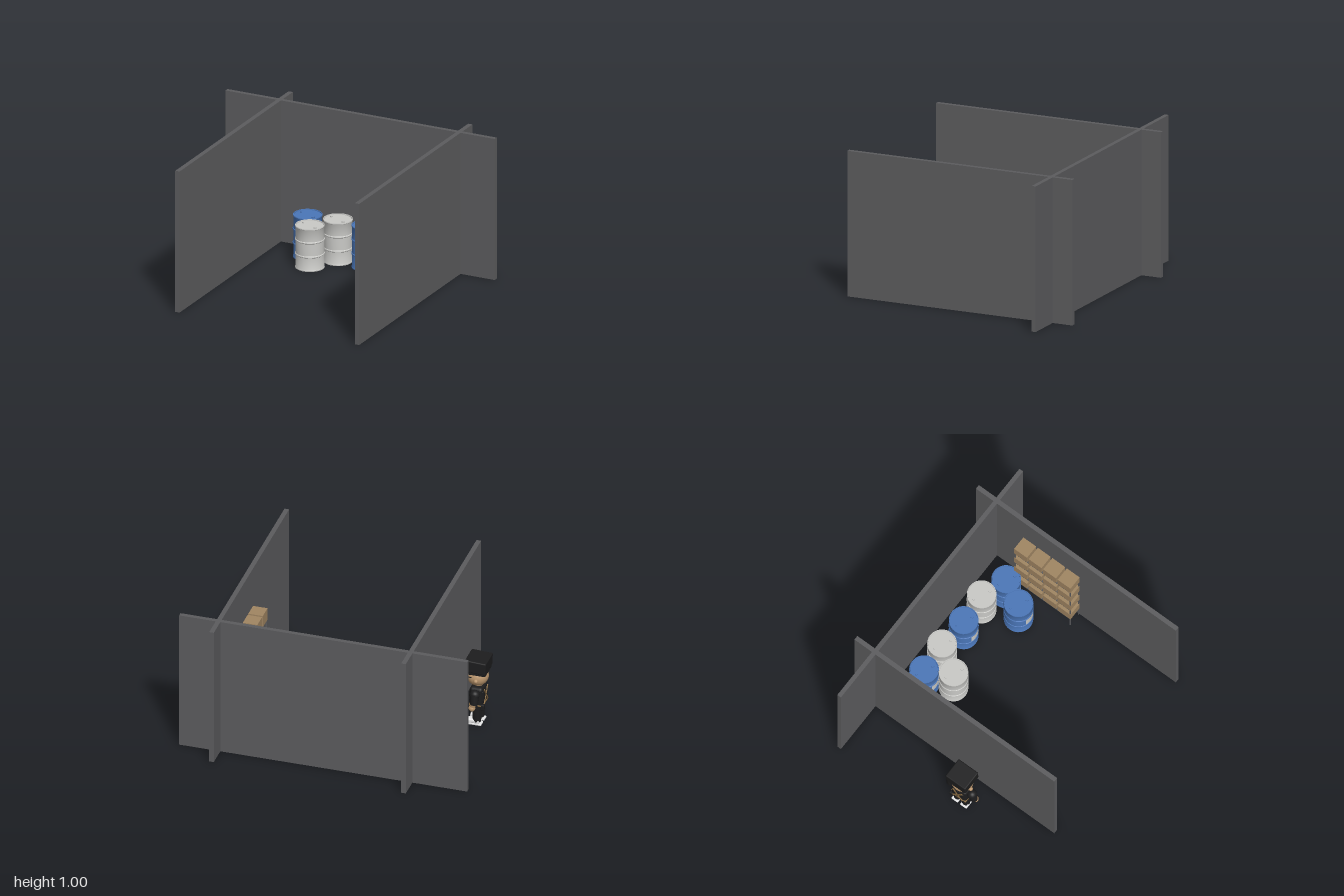
import * as THREE from 'three';
import { toCreasedNormals } from 'three/addons/utils/BufferGeometryUtils.js';
import { RoundedBoxGeometry } from 'three/addons/geometries/RoundedBoxGeometry.js';

const mat = (name, color, side = THREE.FrontSide) => {
  const m = new THREE.MeshStandardMaterial({ color, side });
  m.name = name;
  return m;
};
const M = {
  wall: mat('wall grey', 0x5c5c5e),
  blue: mat('barrel blue', 0x4a76b8),
  pale: mat('pale grey', 0xc9c9c6, THREE.DoubleSide),
  card: mat('cardboard', 0xa08562),
  black: mat('cloth black', 0x1d1d1e),
  skin: mat('skin', 0xb8946c),
  tan: mat('strap tan', 0x8a6c42),
  white: mat('shoe white', 0xe6e6e6),
};

function add(parent, name, geo, material, x = 0, y = 0, z = 0) {
  const m = new THREE.Mesh(geo, material);
  m.name = name;
  m.position.set(x, y, z);
  parent.add(m);
  return m;
}
const box = (w, h, d) => new THREE.BoxGeometry(w, h, d);
const rbox = (w, h, d, r) => new RoundedBoxGeometry(w, h, d, 2, r);

// Drum with rolled hoops, recessed lid and two bungs
const drumProfile = [
  [0, 0.006], [0.092, 0.006], [0.093, 0], [0.098, 0], [0.099, 0.006], [0.096, 0.012],
  [0.096, 0.094], [0.1, 0.098], [0.1, 0.104], [0.096, 0.108],
  [0.096, 0.194], [0.1, 0.198], [0.1, 0.204], [0.096, 0.208],
  [0.096, 0.289], [0.099, 0.294], [0.098, 0.3], [0.093, 0.3], [0.092, 0.293], [0, 0.293],
].map(([x, y]) => new THREE.Vector2(x, y));
const drumGeo = toCreasedNormals(new THREE.LatheGeometry(drumProfile, 32), 0.6);
const labelGeo = new THREE.CylinderGeometry(0.0972, 0.0972, 0.084, 14, 1, true, -0.37, 1.22);

function barrel(x, z, material) {
  const g = new THREE.Group();
  g.name = 'barrel';
  add(g, 'drum', drumGeo, material);
  if (material === M.blue) add(g, 'label', labelGeo, M.pale, 0, 0.151, 0);
  add(g, 'largeBung', new THREE.CylinderGeometry(0.012, 0.012, 0.01, 12), material, 0.055, 0.297, 0.03);
  add(g, 'smallBung', new THREE.CylinderGeometry(0.007, 0.007, 0.01, 10), material, -0.06, 0.297, -0.02);
  g.position.set(x, 0, z);
  return g;
}

// Rack of four shelves, four cartons on each
function shelfRack() {
  const g = new THREE.Group();
  g.name = 'shelfRack';
  for (let row = 0; row < 4; row++) {
    const y = 0.118 + row * 0.169;
    add(g, 'shelf', box(0.1, 0.008, 0.465), M.wall, 0.663, y - 0.004, -0.2025);
    for (let i = 0; i < 4; i++) {
      const z = -0.3825 + i * 0.1205;
      add(g, 'carton', box(0.101, 0.088, 0.106), M.card, 0.6625, y + 0.044, z);
    }
  }
  for (const x of [0.618, 0.71])
    for (const z of [-0.431, 0.026])
      add(g, 'post', box(0.008, 0.63, 0.008), M.wall, x, 0.315, z);
  return g;
}

// Guard, modelled facing +z
function guard() {
  const g = new THREE.Group();
  g.name = 'guard';

  // Head, face and fur hat
  const head = add(g, 'head', new THREE.SphereGeometry(0.074, 24, 16), M.skin, 0, 0.355, 0.005);
  head.scale.set(1.02, 0.93, 1);
  add(g, 'nose', new THREE.SphereGeometry(0.012, 12, 8), M.skin, 0, 0.345, 0.079);
  const hat = add(g, 'hat', rbox(0.165, 0.088, 0.148, 0.008), M.black, 0, 0.455, 0);
  hat.rotation.x = -0.05;
  add(g, 'hatBand', rbox(0.15, 0.03, 0.13, 0.008), M.black, 0, 0.405, -0.005);
  for (const s of [-1, 1]) {
    const lens = add(g, 'lens', new THREE.TorusGeometry(0.019, 0.004, 6, 18), M.black, s * 0.026, 0.366, 0.082);
    lens.rotation.y = s * 0.2;
    add(g, 'eye', new THREE.SphereGeometry(0.011, 12, 8), M.black, s * 0.026, 0.366, 0.07);
    add(g, 'templeArm', box(0.004, 0.005, 0.06), M.black, s * 0.068, 0.37, 0.05);
    add(g, 'ear', new THREE.SphereGeometry(0.015, 12, 8), M.skin, s * 0.076, 0.35, -0.005);
  }
  add(g, 'glassesBridge', box(0.016, 0.005, 0.005), M.black, 0, 0.368, 0.084);

  // Torso with harness and belt
  add(g, 'neck', new THREE.CylinderGeometry(0.025, 0.03, 0.03, 14), M.skin, 0, 0.287, 0);
  add(g, 'torso', rbox(0.125, 0.15, 0.09, 0.022), M.black, 0, 0.212, 0);
  add(g, 'vest', rbox(0.1, 0.085, 0.105, 0.012), M.black, 0, 0.22, 0.002);
  add(g, 'belt', rbox(0.13, 0.014, 0.096, 0.005), M.tan, 0, 0.155, 0);
  for (const s of [-1, 1]) {
    const strap = add(g, 'backStrap', box(0.009, 0.135, 0.006), M.tan, 0, 0.218, -0.052);
    strap.rotation.z = s * 0.6;
  }

  for (const s of [-1, 1]) {
    // Arm: round shoulder, sleeve, forearm and hand
    add(g, 'shoulder', new THREE.SphereGeometry(0.034, 16, 12), M.black, s * 0.083, 0.25, 0);
    const sleeve = add(g, 'sleeve', new THREE.CylinderGeometry(0.029, 0.026, 0.075, 16), M.black, s * 0.093, 0.222, 0);
    sleeve.rotation.z = s * 0.15;
    const forearm = add(g, 'forearm', new THREE.CylinderGeometry(0.02, 0.018, 0.05, 14), M.skin, s * 0.1, 0.178, 0.008);
    forearm.rotation.x = -0.25;
    add(g, 'hand', new THREE.SphereGeometry(0.023, 14, 10), M.skin, s * 0.1, 0.155, 0.014);

    // Leg and shoe
    add(g, 'leg', new THREE.CylinderGeometry(0.034, 0.028, 0.135, 16), M.black, s * 0.034, 0.09, 0);
    add(g, 'shoeUpper', rbox(0.05, 0.032, 0.085, 0.012), M.white, s * 0.036, 0.026, 0.022);
    add(g, 'shoeSole', rbox(0.054, 0.014, 0.105, 0.005), M.white, s * 0.036, 0.007, 0.016);
  }
  // Slung baton and hip pouch
  const baton = add(g, 'baton', new THREE.CylinderGeometry(0.005, 0.005, 0.12, 10), M.black, -0.075, 0.115, 0.05);
  baton.rotation.x = -0.12;
  add(g, 'pouch', rbox(0.03, 0.04, 0.025, 0.006), M.black, 0.05, 0.145, -0.045);

  g.rotation.y = Math.PI / 2;
  g.position.set(-0.8, 0, 0.2);
  return g;
}

export function createModel() {
  const root = new THREE.Group();
  root.name = 'storageRoom';

  // Crossing wall panels
  add(root, 'backWall', box(2, 1, 0.03), M.wall, 0, 0.5, -0.67);
  add(root, 'rightWall', box(0.032, 1, 1.66), M.wall, -0.604, 0.5, 0);
  add(root, 'leftWall', box(0.032, 1, 1.66), M.wall, 0.73, 0.5, 0);

  // Barrels along the back
  const spots = [
    [-0.305, -0.49, M.blue], [-0.088, -0.505, M.pale], [0.13, -0.49, M.blue],
    [0.347, -0.505, M.pale], [0.53, -0.44, M.blue], [0.445, -0.273, M.blue],
    [-0.204, -0.322, M.pale],
  ];
  for (const s of spots) root.add(barrel(...s));

  root.add(shelfRack(), guard());
  return root;
}
